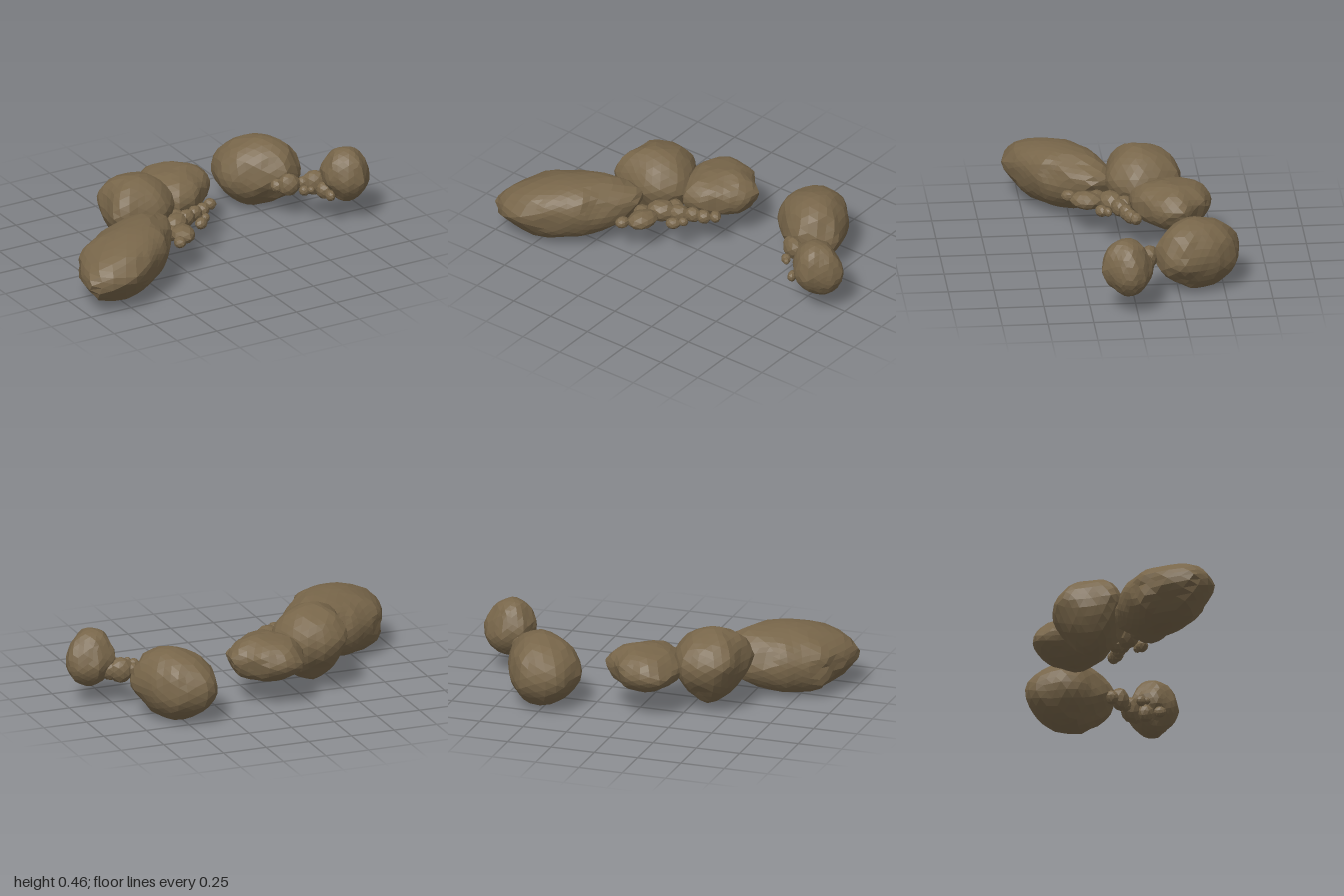
import * as THREE from 'three';

const stone = new THREE.MeshStandardMaterial({ color: 0x78664a, flatShading: true });
stone.name = 'brown stone';

// small seeded generator
function seeded(s) {
  return () => ((s = (s * 16807) % 2147483647) / 2147483647);
}

// radius of a plan outline (x, z points around c) along one direction
function planRadius(outline, c, dx, dz) {
  for (let i = 0; i < outline.length; i++) {
    const a = outline[i], b = outline[(i + 1) % outline.length];
    const ax = a[0] - c[0], az = a[1] - c[1], ex = b[0] - a[0], ez = b[1] - a[1];
    const det = dx * ez - dz * ex;
    if (Math.abs(det) < 1e-9) continue;
    const t = (ax * ez - az * ex) / det;
    const u = (ax * dz - az * dx) / det;
    if (t > 0 && u >= -1e-6 && u <= 1 + 1e-6) return t;
  }
  return 0.1;
}

// faceted stone: a sphere chipped by planes, then fitted to a plan outline and a height range;
// power sets how full the upper and lower halves are, tilt slopes the stone along x and z
function rock(name, { c, outline, low, mid, high, tilt = [0, 0], power = [2, 2], detail = 4, seed }) {
  const rnd = seeded(seed * 7919);
  const chips = [];
  for (let i = 0; i < 18; i++) {
    const y = rnd() * 2 - 1, a = rnd() * Math.PI * 2, h = Math.sqrt(1 - y * y);
    chips.push({ n: new THREE.Vector3(h * Math.cos(a), y, h * Math.sin(a)), d: 0.92 + rnd() * 0.07 });
  }
  const geo = new THREE.IcosahedronGeometry(1, detail);
  const pos = geo.attributes.position, v = new THREE.Vector3();
  for (let i = 0; i < pos.count; i++) {
    v.fromBufferAttribute(pos, i).normalize();
    let r = 1.01 + 0.015 * Math.sin(7 * v.x + seed) * Math.sin(6 * v.z + 5 * v.y + seed);
    for (const { n, d } of chips) {
      const k = v.dot(n);
      if (k > 0) r = Math.min(r, d / k);
    }
    const h = Math.hypot(v.x, v.z), p = v.y > 0 ? power[0] : power[1];
    const s = r / Math.pow(Math.pow(h, p) + Math.pow(Math.abs(v.y), p), 1 / p);
    const dx = h > 1e-5 ? v.x / h : 1, dz = h > 1e-5 ? v.z / h : 0;
    const R = planRadius(outline, c, dx, dz) * h * s;
    const x = dx * R, z = dz * R;
    const y = mid + v.y * s * (v.y > 0 ? high - mid : mid - low) + tilt[0] * x + tilt[1] * z;
    pos.setXYZ(i, c[0] + x, y, c[1] + z);
  }
  geo.computeVertexNormals();
  const mesh = new THREE.Mesh(geo, stone);
  mesh.name = name;
  return mesh;
}

// pebble: plan centre, height, long and short radius, half height, turn about y
function pebble([x, y, z, a, b, h, turn], i) {
  const outline = [];
  for (let k = 0; k < 8; k++) {
    const t = (k / 8) * Math.PI * 2, p = a * Math.cos(t), q = b * Math.sin(t);
    outline.push([
      x + p * Math.cos(turn) - q * Math.sin(turn),
      z + p * Math.sin(turn) + q * Math.cos(turn),
    ]);
  }
  return rock('pebble' + (i + 1), { c: [x, z], outline, low: y - h, mid: y, high: y + h, detail: 1, seed: i + 20 });
}

export function createModel() {
  const group = new THREE.Group();
  group.name = 'rockCluster';

  // large boulders
  group.add(
    rock('longBoulder', {
      c: [-0.65, 0.29], low: 0.015, mid: 0.22, high: 0.37, tilt: [0.13, 0.06], power: [2.05, 2.2], detail: 5, seed: 3,
      outline: [[-1, 0.5], [-0.98, 0.36], [-0.93, 0.2], [-0.72, 0.07], [-0.5, 0], [-0.33, 0.03],
        [-0.3, 0.14], [-0.36, 0.27], [-0.47, 0.42], [-0.65, 0.54], [-0.77, 0.595], [-0.88, 0.59]],
    }),
    rock('tallBoulder', {
      c: [-0.36, -0.13], low: 0.035, mid: 0.275, high: 0.46, tilt: [-0.06, 0], power: [1.9, 1.6], seed: 5,
      outline: [[-0.57, 0], [-0.55, -0.17], [-0.53, -0.26], [-0.48, -0.32], [-0.37, -0.345], [-0.26, -0.33],
        [-0.19, -0.24], [-0.14, -0.11], [-0.16, -0.04], [-0.25, 0.06], [-0.32, 0.07], [-0.52, 0.045]],
    }),
    rock('middleBoulder', {
      c: [-0.03, -0.26], low: 0.12, mid: 0.25, high: 0.38, power: [2, 1.9], seed: 8,
      outline: [[-0.25, -0.28], [-0.22, -0.4], [-0.18, -0.475], [-0.1, -0.49], [0.05, -0.46], [0.11, -0.38],
        [0.18, -0.32], [0.17, -0.22], [0.085, -0.13], [0, -0.06], [-0.13, -0.04], [-0.21, -0.14]],
    }),
    rock('farBoulder', {
      c: [0.54, -0.35], low: 0, mid: 0.2, high: 0.395, tilt: [0.02, 0.04], power: [1.95, 1.8], seed: 11,
      outline: [[0.3, -0.37], [0.34, -0.52], [0.4, -0.595], [0.49, -0.585], [0.61, -0.565], [0.69, -0.45],
        [0.755, -0.26], [0.7, -0.16], [0.6, -0.115], [0.43, -0.18], [0.33, -0.28]],
    }),
    rock('roundBoulder', {
      c: [0.86, 0.055], low: 0.1, mid: 0.25, high: 0.415, tilt: [-0.1, 0.05], power: [2, 1.8], seed: 14,
      outline: [[0.72, 0.1], [0.72, 0.02], [0.75, -0.05], [0.86, -0.085], [0.96, -0.045], [1, 0.02],
        [0.985, 0.09], [0.89, 0.2], [0.79, 0.18]],
    }),
  );

  // pebbles between the boulders
  const pebbles = [
    [-0.24, 0.2, 0.18, 0.1, 0.07, 0.05, 1.9], [-0.31, 0.2, 0.27, 0.048, 0.035, 0.032, 1.9],
    [-0.21, 0.2, 0.05, 0.09, 0.065, 0.06, -0.6], [-0.29, 0.19, 0.12, 0.055, 0.055, 0.045, 0],
    [-0.12, 0.2, 0.01, 0.065, 0.045, 0.05, -0.5], [-0.085, 0.2, 0.11, 0.045, 0.035, 0.033, -0.6],
    [-0.04, 0.21, 0.08, 0.03, 0.024, 0.026, -0.5], [-0.05, 0.2, -0.02, 0.05, 0.04, 0.045, -0.4],
    [0.01, 0.2, -0.04, 0.045, 0.04, 0.04, 0], [0.07, 0.21, -0.065, 0.038, 0.033, 0.034, 0.6],
    [-0.17, 0.19, -0.02, 0.06, 0.05, 0.06, 0.3],
    [0.58, 0.2, -0.09, 0.07, 0.05, 0.065, 0.3], [0.53, 0.19, -0.13, 0.04, 0.04, 0.04, 0],
    [0.615, 0.2, 0.02, 0.032, 0.027, 0.03, 0.5], [0.64, 0.21, 0.05, 0.022, 0.017, 0.02, 0.8],
    [0.66, 0.2, -0.07, 0.038, 0.033, 0.04, 0.5], [0.72, 0.2, -0.05, 0.075, 0.055, 0.075, 0.3],
    [0.77, 0.2, -0.03, 0.055, 0.05, 0.06, 0.2], [0.735, 0.18, 0.03, 0.05, 0.045, 0.05, 1.2],
    [0.725, 0.18, 0.11, 0.038, 0.025, 0.032, 1.4],
  ];
  pebbles.forEach((p, i) => group.add(pebble(p, i)));

  return group;
}
